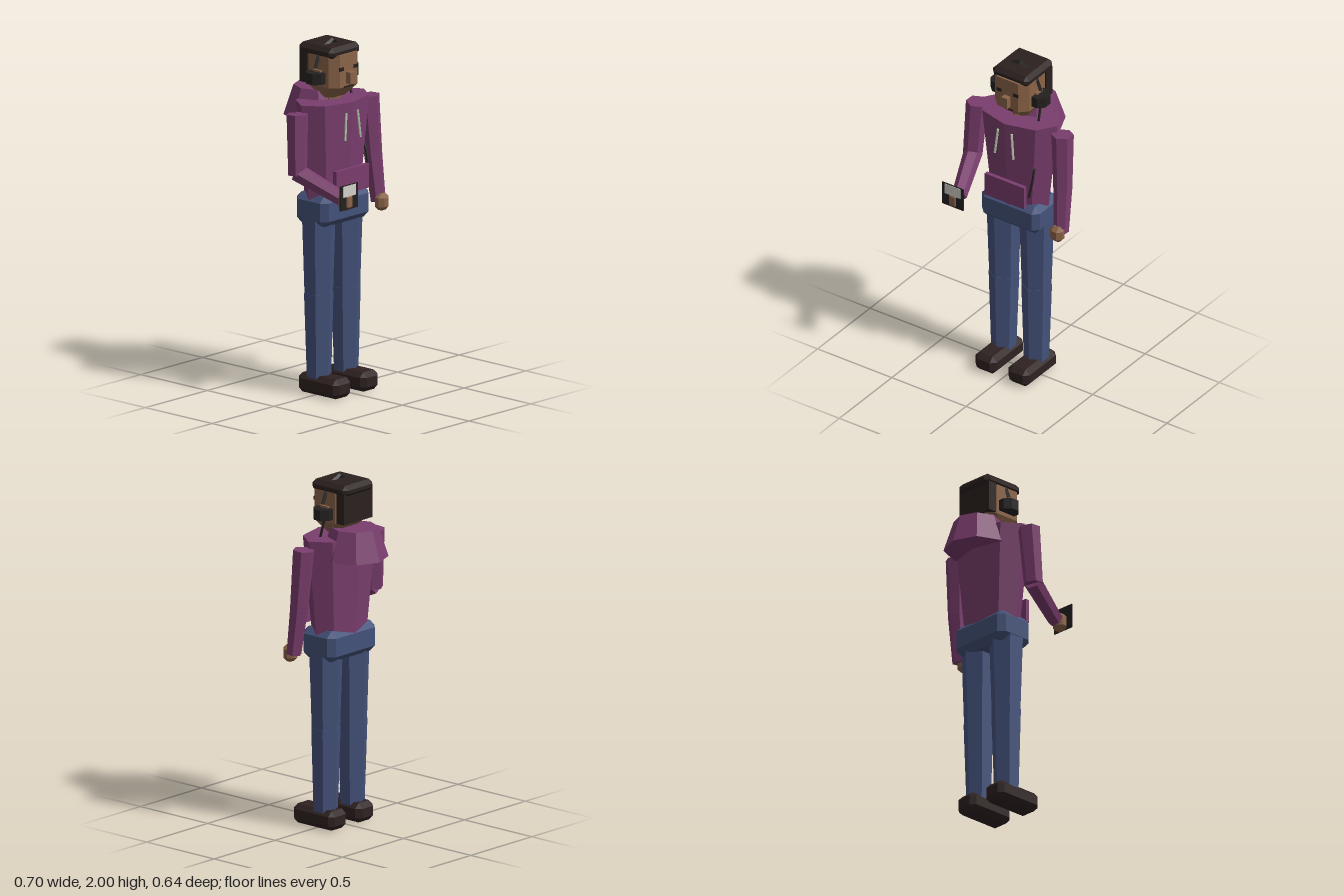
import * as THREE from 'three';
import { ConvexGeometry } from 'three/addons/geometries/ConvexGeometry.js';

const mat = (name, color) => {
  const m = new THREE.MeshStandardMaterial({ color, flatShading: true });
  m.name = name;
  return m;
};

export function createModel() {
  const purple = mat('purple cloth', 0x7a3d6d);
  const denim = mat('blue denim', 0x44527a);
  const skin = mat('skin', 0x8a6347);
  const hairBrown = mat('dark hair', 0x2b211f);
  const leather = mat('shoe leather', 0x2e2221);
  const black = mat('black plastic', 0x242020);
  const cord = mat('pale cord', 0xb9c4ab);
  const glass = mat('phone glass', 0xd2d0c8);

  const root = new THREE.Group();
  root.name = 'standingFigure';
  const body = new THREE.Group();
  body.name = 'body';
  body.position.x = -0.003;
  root.add(body);

  const add = (name, geo, material, x = 0, y = 0, z = 0) => {
    const m = new THREE.Mesh(geo, material);
    m.name = name;
    m.position.set(x, y, z);
    body.add(m);
    return m;
  };
  const box = (w, h, d) => new THREE.BoxGeometry(w, h, d);

  // Box with every edge and corner cut off by b
  const chamferBox = (w, h, d, b) => {
    const pts = [];
    for (const sx of [-1, 1]) for (const sy of [-1, 1]) for (const sz of [-1, 1]) {
      for (let k = 0; k < 3; k++) {
        pts.push(new THREE.Vector3(
          sx * (w / 2 - (k === 0 ? 0 : b)),
          sy * (h / 2 - (k === 1 ? 0 : b)),
          sz * (d / 2 - (k === 2 ? 0 : b))));
      }
    }
    return new ConvexGeometry(pts);
  };

  // Tapered limb running from point a to point b
  const limb = (name, a, b, ra, rb, material, sides = 6) => {
    const A = new THREE.Vector3(...a), B = new THREE.Vector3(...b);
    const dir = A.clone().sub(B);
    const m = add(name, new THREE.CylinderGeometry(ra, rb, dir.length(), sides), material);
    m.position.copy(A).add(B).multiplyScalar(0.5);
    m.quaternion.setFromUnitVectors(new THREE.Vector3(0, 1, 0), dir.normalize());
    return m;
  };

  // Legs and shoes
  for (const [s, side] of [[1, 'left'], [-1, 'right']]) {
    add(side + 'Shoe', chamferBox(0.142, 0.11, 0.305, 0.028), leather, s * 0.111, 0.055, 0.022);
    limb(side + 'Thigh', [s * 0.11, 1.02, -0.022], [s * 0.11, 0.56, -0.022], 0.097, 0.082, denim);
    limb(side + 'Shin', [s * 0.11, 0.57, -0.022], [s * 0.11, 0.08, -0.02], 0.085, 0.07, denim);
  }

  // Hips and hooded top
  add('hips', chamferBox(0.39, 0.175, 0.24, 0.035), denim, 0, 1.053, -0.02);
  add('torso', new THREE.CylinderGeometry(1, 0.74, 0.58, 8).scale(0.253, 1, 0.155), purple, 0, 1.37, -0.022);
  add('hood', new THREE.CylinderGeometry(0.132, 0.187, 0.17, 8), purple, 0, 1.63, -0.135);
  add('frontPocket', box(0.264, 0.138, 0.024), purple, 0, 1.216, 0.119);
  for (const s of [-1, 1]) {
    limb('drawstring', [s * 0.046, 1.605, 0.126], [s * 0.062, 1.45, 0.133], 0.007, 0.007, cord, 5);
  }

  // Arms: left hangs down, right is bent forward
  limb('leftUpperArm', [0.288, 1.62, -0.018], [0.303, 1.285, 0.002], 0.062, 0.053, purple);
  limb('leftForearm', [0.303, 1.305, 0], [0.313, 1.02, 0.032], 0.053, 0.043, purple);
  add('leftHand', chamferBox(0.08, 0.096, 0.072, 0.023), skin, 0.309, 1.022, 0.062);
  limb('rightUpperArm', [-0.288, 1.62, -0.018], [-0.305, 1.28, 0], 0.062, 0.054, purple);
  limb('rightForearm', [-0.303, 1.295, -0.005], [-0.216, 1.172, 0.255], 0.053, 0.043, purple);
  add('rightHand', chamferBox(0.078, 0.102, 0.075, 0.023), skin, -0.221, 1.166, 0.28);

  // Phone held in the right hand
  add('phone', box(0.142, 0.14, 0.006), black, -0.221, 1.195, 0.307);
  add('phoneScreen', box(0.104, 0.062, 0.003), glass, -0.221, 1.23, 0.3115);

  // Head: corner-cut rings joined down to the chin
  const ring = (y, hw, hd, c, z) => {
    const out = [];
    for (const sx of [-1, 1]) for (const sz of [-1, 1]) {
      out.push(new THREE.Vector3(sx * hw, y, z + sz * (hd - c)));
      out.push(new THREE.Vector3(sx * (hw - c), y, z + sz * hd));
    }
    return out;
  };
  add('head', new ConvexGeometry([
    ...ring(1.93, 0.115, 0.12, 0.045, -0.02),
    ...ring(1.745, 0.115, 0.12, 0.045, -0.02),
    ...ring(1.675, 0.07, 0.045, 0.026, -0.018),
  ]), skin);
  add('neck', new THREE.CylinderGeometry(0.055, 0.06, 0.12, 6), skin, 0, 1.68, -0.03);
  add('nose', box(0.041, 0.065, 0.04), skin, 0, 1.797, 0.112);
  add('mouth', box(0.075, 0.009, 0.008), hairBrown, 0, 1.746, 0.099);

  // Hair
  add('hairCap', chamferBox(0.244, 0.068, 0.265, 0.024), hairBrown, 0, 1.938, -0.045);
  add('backHair', box(0.234, 0.18, 0.056), hairBrown, 0, 1.84, -0.133);

  // Eyes, ears and ear cups
  for (const s of [-1, 1]) {
    add('eye', box(0.034, 0.02, 0.008), black, s * 0.056, 1.85, 0.099);
    add('ear', box(0.03, 0.06, 0.056), skin, s * 0.116, 1.81, -0.023);
    add('earCup', new THREE.CylinderGeometry(0.062, 0.062, 0.062, 8).rotateY(Math.PI / 8), black, s * 0.127, 1.798, -0.023);
  }

  // Headband and cable
  add('headband', new THREE.TorusGeometry(0.136, 0.013, 4, 4, Math.PI), black, 0, 1.851, -0.023);
  const path = new THREE.CatmullRomCurve3([
    [0.134, 1.76, -0.03], [0.137, 1.65, -0.002], [0.15, 1.45, 0.045],
    [0.162, 1.34, 0.084], [0.15, 1.22, 0.108],
  ].map(p => new THREE.Vector3(...p)));
  add('cable', new THREE.TubeGeometry(path, 12, 0.007, 5), black);

  return root;
}
